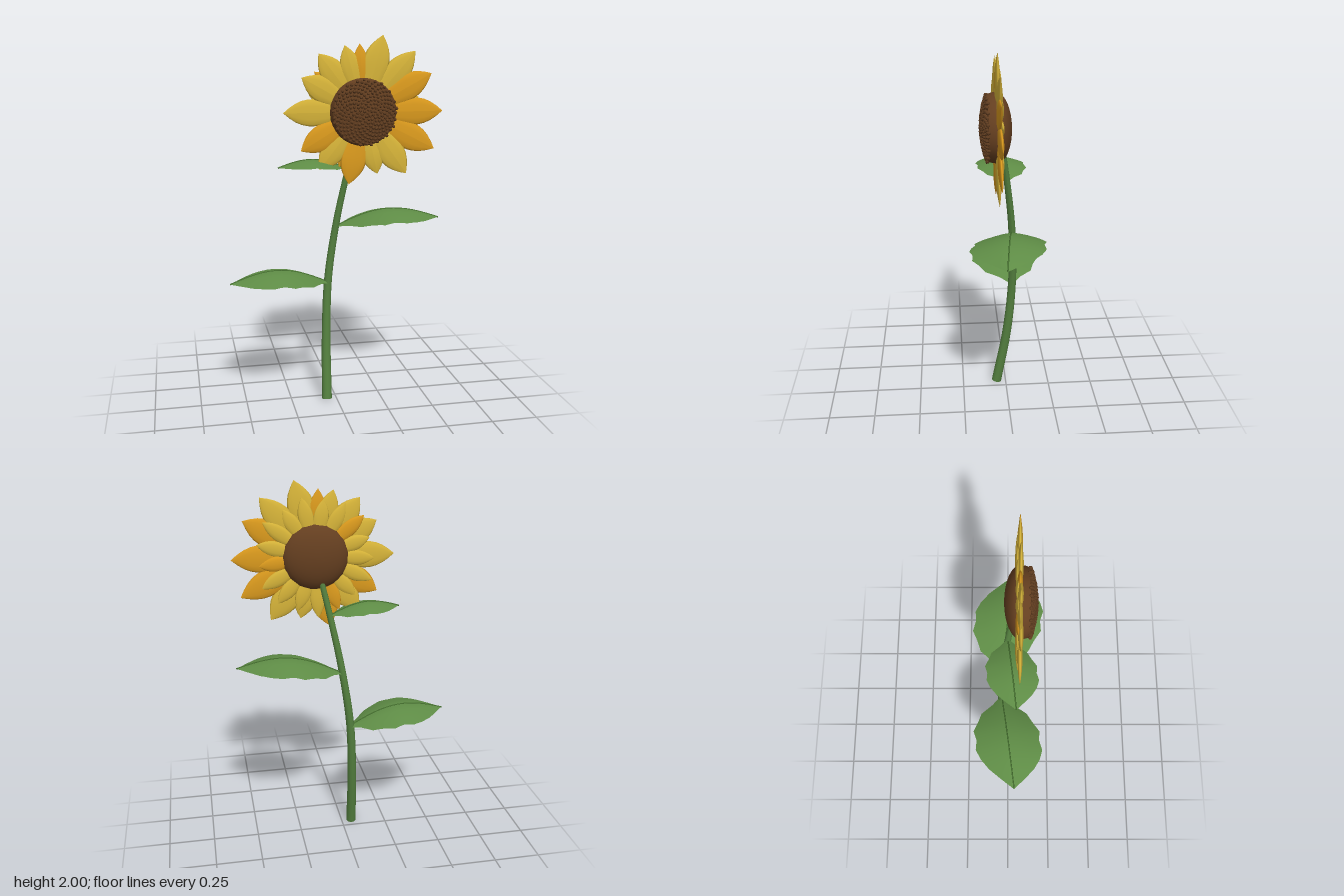
import * as THREE from 'three';
import { mergeGeometries, toCreasedNormals } from 'three/addons/utils/BufferGeometryUtils.js';

const V = (x, y, z) => new THREE.Vector3(x, y, z);

function material(name, color, options = {}) {
  const m = new THREE.MeshStandardMaterial({ color, ...options });
  m.name = name;
  return m;
}

// Linear lookup in a list of evenly spaced values.
function sample(list, t) {
  const f = Math.min(Math.max(t, 0), 1) * (list.length - 1);
  const i = Math.min(Math.floor(f), list.length - 2);
  return THREE.MathUtils.lerp(list[i], list[i + 1], f - i);
}

// Move every vertex of a geometry by a rule.
function reshape(geometry, rule) {
  const p = geometry.attributes.position;
  const v = new THREE.Vector3();
  for (let i = 0; i < p.count; i++) {
    v.fromBufferAttribute(p, i);
    rule(v, i);
    p.setXYZ(i, v.x, v.y, v.z);
  }
  geometry.computeVertexNormals();
  return geometry;
}

// Half widths of a scalloped leaf and a pointed petal, from base to tip.
const LEAF = [0.01, 0.06, 0.13, 0.155, 0.187, 0.176, 0.187, 0.165, 0.125, 0.065, 0];
const PETAL = [0.5, 0.62, 0.74, 0.85, 0.94, 1, 0.98, 0.88, 0.68, 0.38, 0];

// Point along the arched midrib of a leaf.
function midrib(from, to, arch, t) {
  const p = from.clone().lerp(to, t);
  p.y += arch * Math.sin(Math.PI * t);
  return p;
}

function createLeaf(name, from, to, size, arch, blade, rib) {
  const group = new THREE.Group();
  group.name = name;
  const geometry = reshape(new THREE.PlaneGeometry(1, 2, 20, 6), (v) => {
    const t = v.x + 0.5;
    const side = -v.y;
    const half = sample(LEAF, t) * size;
    const p = midrib(from, to, arch, t);
    v.set(p.x, p.y - 0.24 * half * Math.abs(side) ** 1.4, p.z + side * half);
  });
  const bladeMesh = new THREE.Mesh(geometry, blade);
  bladeMesh.name = 'leafBlade';
  const points = [];
  for (let i = 0; i <= 8; i++) points.push(midrib(from, to, arch, i / 8));
  const ribGeometry = new THREE.TubeGeometry(new THREE.CatmullRomCurve3(points), 16, 0.004, 5);
  const ribMesh = new THREE.Mesh(ribGeometry, rib);
  ribMesh.name = 'leafMidrib';
  group.add(bladeMesh, ribMesh);
  return group;
}

// Lens-shaped petal pointing along +y from the flower centre.
function petalGeometry(inner, outer, halfWidth, halfDepth) {
  return reshape(new THREE.CylinderGeometry(1, 1, 1, 12, 10, true), (v) => {
    const t = v.y + 0.5;
    const w = sample(PETAL, t);
    v.set(v.x * w * halfWidth, inner + (outer - inner) * t, v.z * w * halfDepth);
  });
}

export function createModel() {
  const stemGreen = material('stem green', 0x54803f);
  const leafGreen = material('leaf green', 0x5f8d46, { side: THREE.DoubleSide });
  const ribGreen = material('midrib green', 0x45702f);
  const yellow = material('petal yellow', 0xd9b63a, { side: THREE.DoubleSide });
  const orange = material('petal orange', 0xdd9c1e, { side: THREE.DoubleSide });
  const brown = material('disc brown', 0x653f20);
  const seedBrown = material('seed brown', 0x5c3a1e, { flatShading: true });

  const model = new THREE.Group();
  model.name = 'sunflower';

  // Bent stem, narrowing upwards, with a flat foot
  const curve = new THREE.CatmullRomCurve3([
    V(-0.055, 0.008, 0.053), V(-0.047, 0.35, -0.008), V(-0.03, 0.68, -0.036),
    V(0.015, 1.0, -0.03), V(0.065, 1.26, -0.004), V(0.125, 1.54, 0.035),
  ]);
  const rings = 32;
  const sides = 12;
  const stemGeometry = reshape(new THREE.TubeGeometry(curve, rings, 0.028, sides), (v, i) => {
    const t = Math.floor(i / (sides + 1)) / rings;
    const c = curve.getPointAt(t);
    v.sub(c).multiplyScalar(1 - 0.48 * t).add(c);
  });
  const stem = new THREE.Mesh(stemGeometry, stemGreen);
  stem.name = 'stem';
  const foot = new THREE.Mesh(new THREE.CircleGeometry(0.028, sides), stemGreen);
  foot.name = 'stemFoot';
  foot.position.copy(curve.getPointAt(0));
  foot.lookAt(foot.position.clone().sub(curve.getTangentAt(0)));
  model.add(stem, foot);

  // Three leaves
  model.add(
    createLeaf('lowerLeaf', V(-0.025, 0.66, -0.035), V(-0.577, 0.70, 0.035), 1, 0.073, leafGreen, ribGreen),
    createLeaf('middleLeaf', V(0.012, 0.98, -0.032), V(0.575, 1.02, 0.035), 1, 0.073, leafGreen, ribGreen),
    createLeaf('upperLeaf', V(0.07, 1.30, 0), V(-0.312, 1.32, 0.042), 0.7, 0.047, leafGreen, ribGreen),
  );

  // Flower head
  const head = new THREE.Group();
  head.name = 'flowerHead';
  head.position.set(0.138, 1.605, 0.06);
  model.add(head);

  // Front petals: angle in degrees, tip radius, half width, orange or not
  const frontPetals = [
    [0, 0.437, 0.072, 1], [28, 0.42, 0.07, 1], [48, 0.42, 0.068, 0], [75, 0.407, 0.07, 0],
    [93, 0.35, 0.045, 1], [106, 0.355, 0.055, 0], [128, 0.38, 0.066, 0], [151, 0.37, 0.066, 0],
    [180, 0.42, 0.07, 0], [211, 0.385, 0.068, 1], [232, 0.378, 0.066, 0], [259, 0.388, 0.07, 1],
    [284, 0.34, 0.06, 0], [306, 0.41, 0.072, 0], [333, 0.443, 0.072, 1],
  ];
  frontPetals.forEach(([angle, tip, half, isOrange], i) => {
    const petal = new THREE.Mesh(petalGeometry(0.1, tip, half, 0.013), isOrange ? orange : yellow);
    petal.name = 'frontPetal';
    petal.rotation.z = THREE.MathUtils.degToRad(angle - 90);
    petal.position.z = -0.004 + 0.003 * (i % 2);
    head.add(petal);
  });

  // Smaller petals behind
  const backCount = 17;
  for (let i = 0; i < backCount; i++) {
    const tip = 0.3 + 0.015 * (i % 3);
    const petal = new THREE.Mesh(petalGeometry(0.1, tip, 0.04, 0.011), i % 5 === 2 ? orange : yellow);
    petal.name = 'backPetal';
    petal.rotation.z = (i + 0.4) / backCount * Math.PI * 2;
    petal.position.z = -0.014;
    head.add(petal);
  }

  // Seed disc: rounded back, shallow domed front
  const profile = [];
  for (let i = 0; i <= 8; i++) {
    const a = (i / 8) * Math.PI / 2;
    profile.push(new THREE.Vector2(0.177 * Math.sin(a), -0.078 * Math.cos(a)));
  }
  const dome = (r) => 0.074 - 0.03 * (r / 0.17) ** 2;
  profile.push(new THREE.Vector2(0.174, 0.025));
  for (const r of [0.166, 0.14, 0.1, 0.05, 0]) profile.push(new THREE.Vector2(r, dome(r)));
  const discGeometry = toCreasedNormals(new THREE.LatheGeometry(profile, 32), 0.7);
  discGeometry.rotateX(Math.PI / 2);
  const disc = new THREE.Mesh(discGeometry, brown);
  disc.name = 'seedDisc';
  head.add(disc);

  // Seeds in a golden-angle spiral
  const seeds = [];
  const count = 260;
  for (let i = 0; i < count; i++) {
    const r = 0.171 * Math.sqrt((i + 0.5) / count);
    const a = i * 2.39996;
    const seed = new THREE.IcosahedronGeometry(0.0085 + 0.0015 * (i % 3) / 2, 0);
    seed.scale(1, 1, 1.3);
    seed.rotateZ(a);
    seed.translate(r * Math.cos(a), r * Math.sin(a), dome(r) + 0.003);
    seeds.push(seed);
  }
  const seedMesh = new THREE.Mesh(mergeGeometries(seeds), seedBrown);
  seedMesh.name = 'seeds';
  head.add(seedMesh);

  return model;
}
